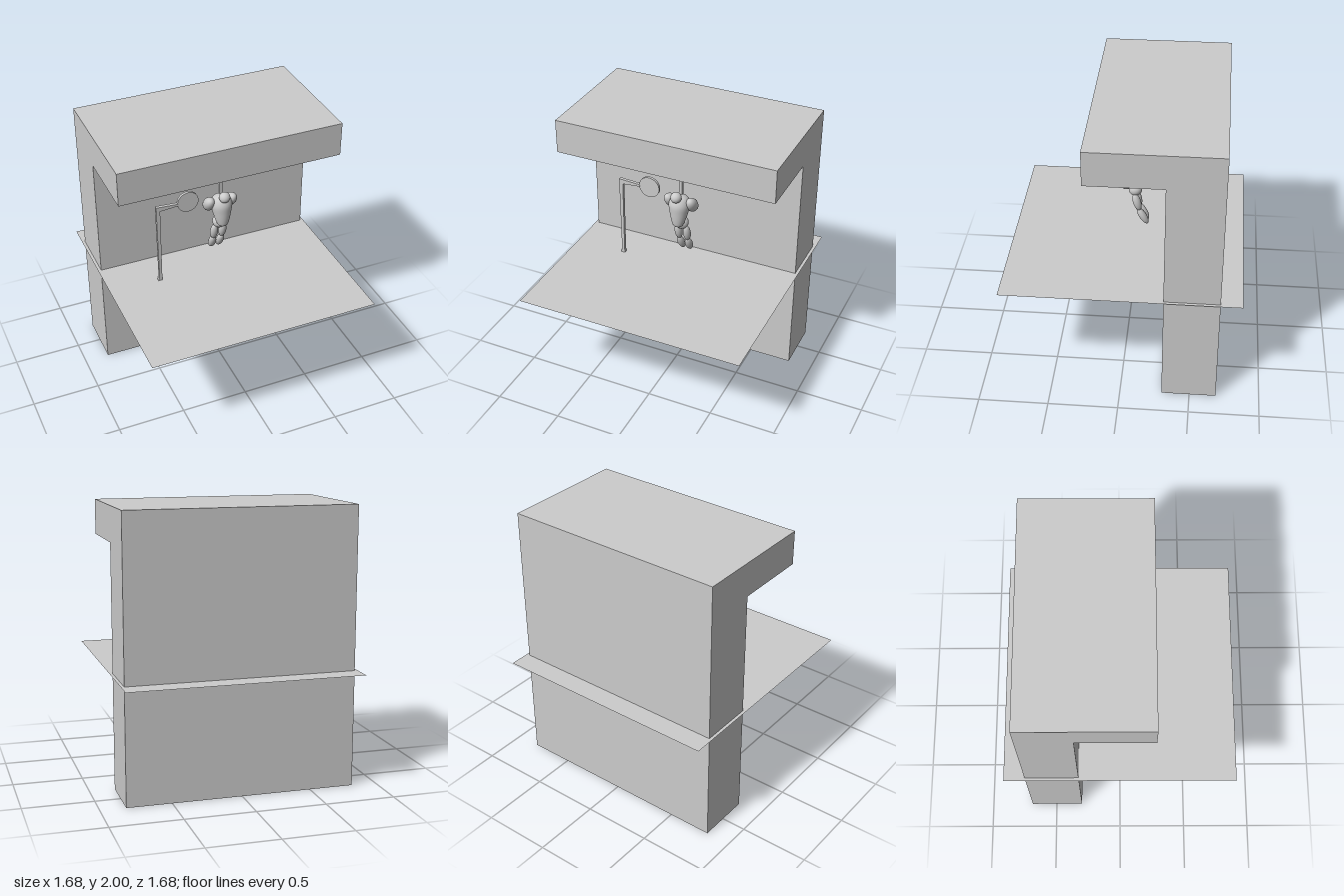
import * as THREE from 'three';

const grey = new THREE.MeshStandardMaterial({ color: 0xcccccc });
const flat = new THREE.MeshStandardMaterial({ color: 0xcccccc, flatShading: true });
const V = (x, y, z) => new THREE.Vector3(x, y, z);

function part(parent, name, geometry, material, x = 0, y = 0, z = 0) {
  const mesh = new THREE.Mesh(geometry, material);
  mesh.name = name;
  mesh.position.set(x, y, z);
  parent.add(mesh);
  return mesh;
}

// Ellipsoid stretched between two end points
function limb(parent, name, a, b, rx, rz = rx) {
  const dir = b.clone().sub(a);
  const mid = a.clone().add(b).multiplyScalar(0.5);
  const mesh = part(parent, name, new THREE.SphereGeometry(1, 28, 20), grey, mid.x, mid.y, mid.z);
  mesh.scale.set(rx, dir.length() / 2, rz);
  mesh.quaternion.setFromUnitVectors(V(0, 1, 0), dir.normalize());
  return mesh;
}

function extruded(shape, depth) {
  return new THREE.ExtrudeGeometry(shape, { depth, bevelEnabled: false, curveSegments: 32 })
    .translate(0, 0, -depth / 2);
}

export function createModel() {
  const model = new THREE.Group();
  model.name = 'hangingFigureScene';

  // Back wall with overhanging ceiling, one L-shaped profile swept along x
  const profile = new THREE.Shape([
    [0.69, 0], [0.69, 2], [-0.24, 2], [-0.24, 1.75], [0.3, 1.75], [0.3, 0],
  ].map(([x, y]) => new THREE.Vector2(x, y)));
  part(model, 'wallAndCeiling', extruded(profile, 1.64), flat).rotation.y = Math.PI / 2;

  // Thin floor sheet crossing the wall
  const sheet = flat.clone();
  sheet.side = THREE.DoubleSide;
  part(model, 'floor', new THREE.PlaneGeometry(1.685, 1.685).rotateX(-Math.PI / 2), sheet, 0, 0.84, 0);

  // Sign post: flared foot, slim stem and side arm, with a round plate
  const sign = new THREE.Group();
  sign.name = 'signPost';
  model.add(sign);
  const post = new THREE.Shape([
    [-0.474, 0.84], [-0.442, 0.84], [-0.444, 0.875], [-0.442, 1.444], [-0.305, 1.455],
    [-0.305, 1.471], [-0.471, 1.481], [-0.465, 0.875],
  ].map(([x, y]) => new THREE.Vector2(x, y)));
  part(sign, 'post', extruded(post, 0.024), flat, 0, 0, -0.027);
  const disc = new THREE.Shape().absarc(-0.23, 1.467, 0.079, 0, Math.PI * 2);
  part(sign, 'roundPlate', extruded(disc, 0.02), flat, 0, 0, -0.027);

  // Rod from the ceiling to the shoulders
  part(model, 'hangingRod', new THREE.BoxGeometry(0.023, 0.35, 0.021), flat, 0.02, 1.575, -0.027);

  // Hanging figure
  const figure = new THREE.Group();
  figure.name = 'figure';
  figure.position.x = 0.018;
  model.add(figure);
  part(figure, 'head', new THREE.SphereGeometry(0.04, 28, 20), grey, 0, 1.487, 0.057);
  limb(figure, 'neck', V(0, 1.485, 0.05), V(0, 1.425, -0.015), 0.027);

  // Egg-shaped torso, broad at the chest and narrow at the belly
  const curve = new THREE.SplineCurve([
    [0, -0.128], [0.032, -0.115], [0.05, -0.075], [0.067, -0.01],
    [0.078, 0.05], [0.064, 0.1], [0.034, 0.122], [0, 0.128],
  ].map(([x, y]) => new THREE.Vector2(x, y)));
  const points = curve.getPoints(28);
  points.forEach((p) => { p.x = Math.max(p.x, 0); });
  const torso = part(figure, 'torso', new THREE.LatheGeometry(points, 32), grey, 0, 1.35, 0.007);
  torso.rotation.x = -0.17;

  part(figure, 'hips', new THREE.SphereGeometry(0.049, 28, 20), grey, 0, 1.222, -0.045);

  // Arms folded back and paired legs trailing behind
  for (const [side, s] of [['right', -1], ['left', 1]]) {
    limb(figure, side + 'Arm', V(s * 0.09, 1.458, 0.025), V(s * 0.066, 1.328, -0.107), 0.046);
    limb(figure, side + 'Thigh', V(s * 0.033, 1.2, -0.04), V(s * 0.033, 1.06, -0.078), 0.029);
    limb(figure, side + 'Shin', V(s * 0.034, 1.078, -0.065), V(s * 0.028, 0.946, -0.138), 0.029, 0.027);
  }
  return model;
}
